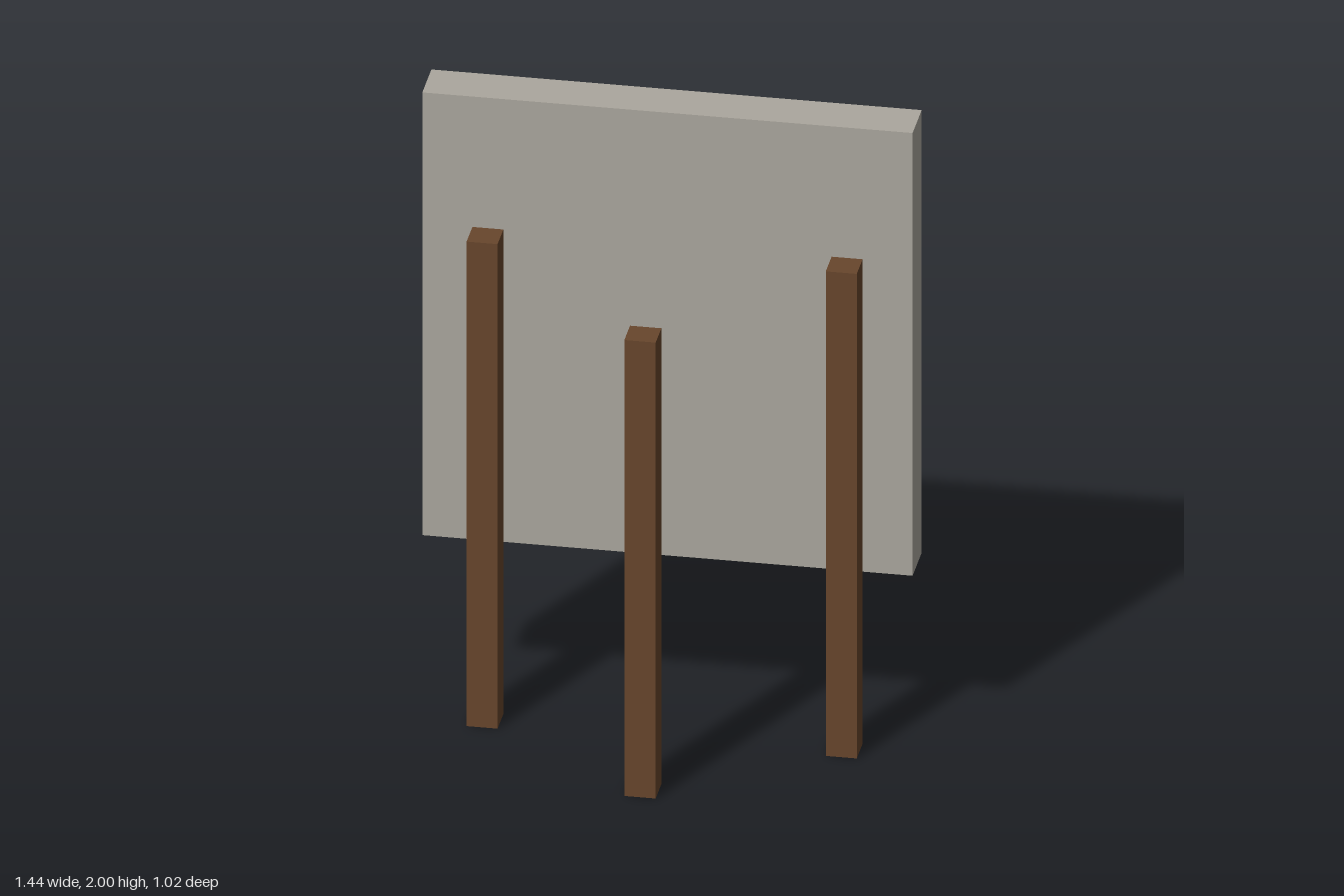
import * as THREE from 'three';

const material = (color) => new THREE.MeshStandardMaterial({ color });
const stone = material(0xaba79e);
const red = material(0x982f2b);
const gold = material(0xa98a28);
const wood = material(0x68462c);
const darkWood = material(0x59402e);

export function createModel() {
  const model = new THREE.Group();
  model.name = 'archeryTarget';

  // Box given by its extents along each axis
  const addBox = (name, mat, [x0, x1], [y0, y1], [z0, z1]) => {
    const mesh = new THREE.Mesh(new THREE.BoxGeometry(x1 - x0, y1 - y0, z1 - z0), mat);
    mesh.position.set((x0 + x1) / 2, (y0 + y1) / 2, (z0 + z1) / 2);
    mesh.name = name;
    model.add(mesh);
  };

  // Square backing board
  const centreY = 1.28;
  addBox('board', stone, [-0.72, 0.72], [0.56, 2], [-0.085, 0.062]);

  // Stepped square target layers on the back face: half size, near z, far z
  const layers = [
    ['outerRedLayer', red, 0.573, -0.085, -0.114],
    ['greyLayer', stone, 0.426, -0.114, -0.132],
    ['innerRedLayer', red, 0.277, -0.132, -0.15],
    ['bullseye', gold, 0.13, -0.15, -0.168],
  ];
  for (const [name, mat, half, near, far] of layers) {
    addBox(name, mat, [-half, half], [centreY - half, centreY + half], [far, near]);
  }

  // Two legs against the board and one free-standing prop
  addBox('leftLeg', wood, [0.482, 0.573], [0, 1.576], [0.062, 0.156]);
  addBox('rightLeg', wood, [-0.573, -0.482], [0, 1.576], [0.062, 0.156]);
  addBox('propLeg', wood, [-0.046, 0.046], [0, 1.483], [0.416, 0.508]);

  // Arrow shafts stuck in the target
  addBox('upperArrow', darkWood, [-0.279, -0.244], [1.485, 1.52], [-0.464, -0.14]);
  addBox('centreArrow', darkWood, [0.093, 0.128], [1.245, 1.28], [-0.508, -0.155]);

  return model;
}
